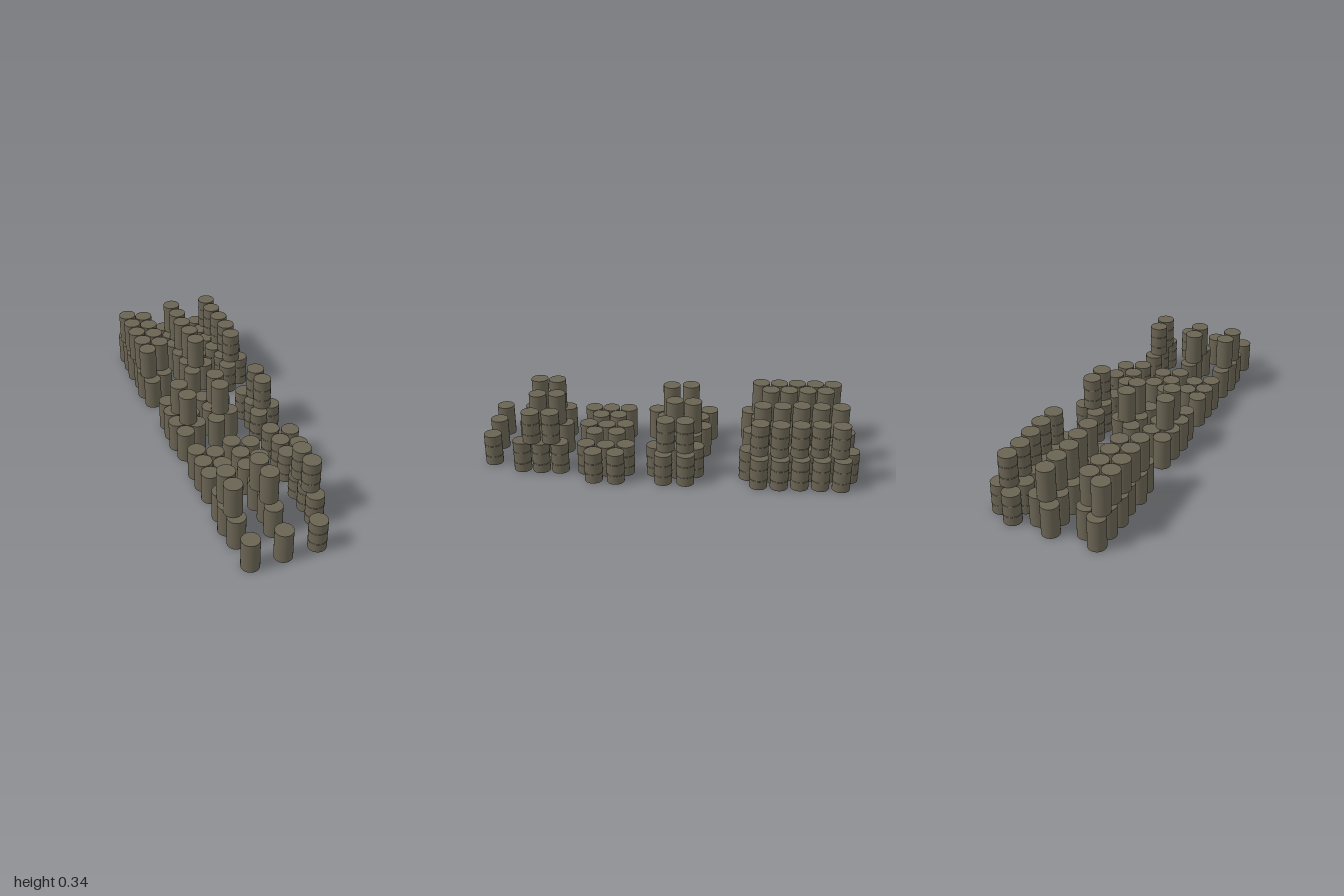
import * as THREE from 'three';

const R = 0.047, H = 0.17;

export function createModel() {
  const model = new THREE.Group();
  const paint = new THREE.MeshStandardMaterial({ color: 0x696352 });
  paint.name = 'drab olive paint';

  const drumGeo = new THREE.CylinderGeometry(R, R, H, 32);
  const ringGeo = new THREE.TorusGeometry(R, 0.002, 6, 32).rotateX(Math.PI / 2);

  // One drum, optionally with two rolling rings
  function addDrum(parent, x, level, z, ribbed) {
    const drum = new THREE.Group();
    drum.name = ribbed ? 'ribbedDrum' : 'plainDrum';
    const body = new THREE.Mesh(drumGeo, paint);
    body.name = 'drumBody';
    body.position.y = H / 2;
    drum.add(body);
    if (ribbed) {
      for (const y of [0.05, 0.113]) {
        const ring = new THREE.Mesh(ringGeo, paint);
        ring.name = 'rollingRing';
        ring.position.y = y;
        drum.add(ring);
      }
    }
    drum.position.set(x, level * H, z);
    parent.add(drum);
  }

  // A stack is a list of rows: [level, first z, z step, x of each drum]
  function addStack(name, ribbed, rows) {
    const stack = new THREE.Group();
    stack.name = name;
    for (const [level, z0, dz, xs] of rows) {
      xs.forEach((x, i) => addDrum(stack, x, level, z0 + i * dz, ribbed));
    }
    model.add(stack);
  }

  // Large double-layer stacks at the back
  addStack('largeStackRight', false, [
    [0, -0.94, 0.1, [-0.272, -0.275, -0.281, -0.272, -0.283, -0.272]],
    [0, -0.888, 0.099, [-0.188, -0.184, -0.188, -0.18, -0.188]],
    [1, -0.892, 0.099, [-0.272, -0.272, -0.275, -0.272, -0.274]],
    [1, -0.845, 0.1, [-0.187, -0.188, -0.188, -0.187]],
  ]);
  addStack('largeStackMiddle', false, [
    [0, -0.953, 0.102, [-0.03, -0.022, -0.033, -0.03, -0.025, -0.03]],
    [0, -0.904, 0.103, [0.062, 0.062, 0.062, 0.062, 0.062]],
    [1, -0.908, 0.103, [0.01, 0.01, 0.003, 0.013, 0.012]],
  ]);
  addStack('largeStackLeft', true, [
    [0, -0.953, 0.106, [0.182, 0.172, 0.177, 0.172, 0.19, 0.182]],
    [0, -0.904, 0.107, [0.277, 0.272, 0.272, 0.277, 0.272]],
    [1, -0.892, 0.104, [0.228, 0.222, 0.228, 0.232, 0.222]],
  ]);

  // Medium stacks with two drums on top
  addStack('mediumStackRight', false, [
    [0, -0.211, 0.098, [-0.26, -0.266, -0.272, -0.26]],
    [0, -0.163, 0.096, [-0.176, -0.176, -0.176]],
    [1, -0.106, 0.106, [-0.226, -0.215]],
  ]);
  addStack('mediumStackMiddle', false, [
    [0, -0.178, 0.105, [-0.065, -0.06, -0.065]],
    [0, -0.128, 0.115, [0.025, 0.025]],
    [1, -0.125, 0.1, [-0.012, -0.023]],
  ]);
  addStack('mediumStackLeft', true, [
    [0, -0.143, 0.105, [0.167, 0.177, 0.167]],
    [0, -0.095, 0.117, [0.26, 0.257]],
    [1, -0.09, 0.102, [0.212, 0.209]],
  ]);

  // Single-layer groups
  addStack('lowGroupRight', false, [
    [0, 0.248, 0.098, [-0.26, -0.26, -0.26]],
    [0, 0.298, 0.098, [-0.176, -0.176]],
  ]);
  addStack('lowGroupMiddle', false, [
    [0, 0.248, 0.101, [-0.065, -0.055, -0.065]],
    [0, 0.288, 0.12, [0.025, 0.025]],
  ]);
  addStack('lowGroupLeft', true, [
    [0, 0.225, 0.105, [0.167, 0.177, 0.167]],
    [0, 0.271, 0.117, [0.26, 0.255]],
  ]);

  // Narrow rows with two drums on top
  addStack('narrowStackRight', false, [
    [0, 0.592, 0.099, [-0.26, -0.269, -0.26]],
    [1, 0.647, 0.1, [-0.256, -0.26]],
  ]);
  addStack('narrowStackMiddle', false, [
    [0, 0.58, 0.102, [-0.065, -0.055, -0.065]],
    [1, 0.622, 0.104, [-0.073, -0.065]],
  ]);
  addStack('narrowStackLeft', true, [
    [0, 0.578, 0.102, [0.163, 0.163, 0.158]],
    [1, 0.622, 0.104, [0.153, 0.157]],
  ]);

  // Lone drums at the front
  addStack('loneDrumRight', false, [[0, 0.953, 0, [-0.256]]]);
  addStack('loneDrumMiddle', false, [[0, 0.953, 0, [-0.086]]]);
  addStack('loneDrumLeft', true, [[0, 0.951, 0, [0.093]]]);

  return model;
}
